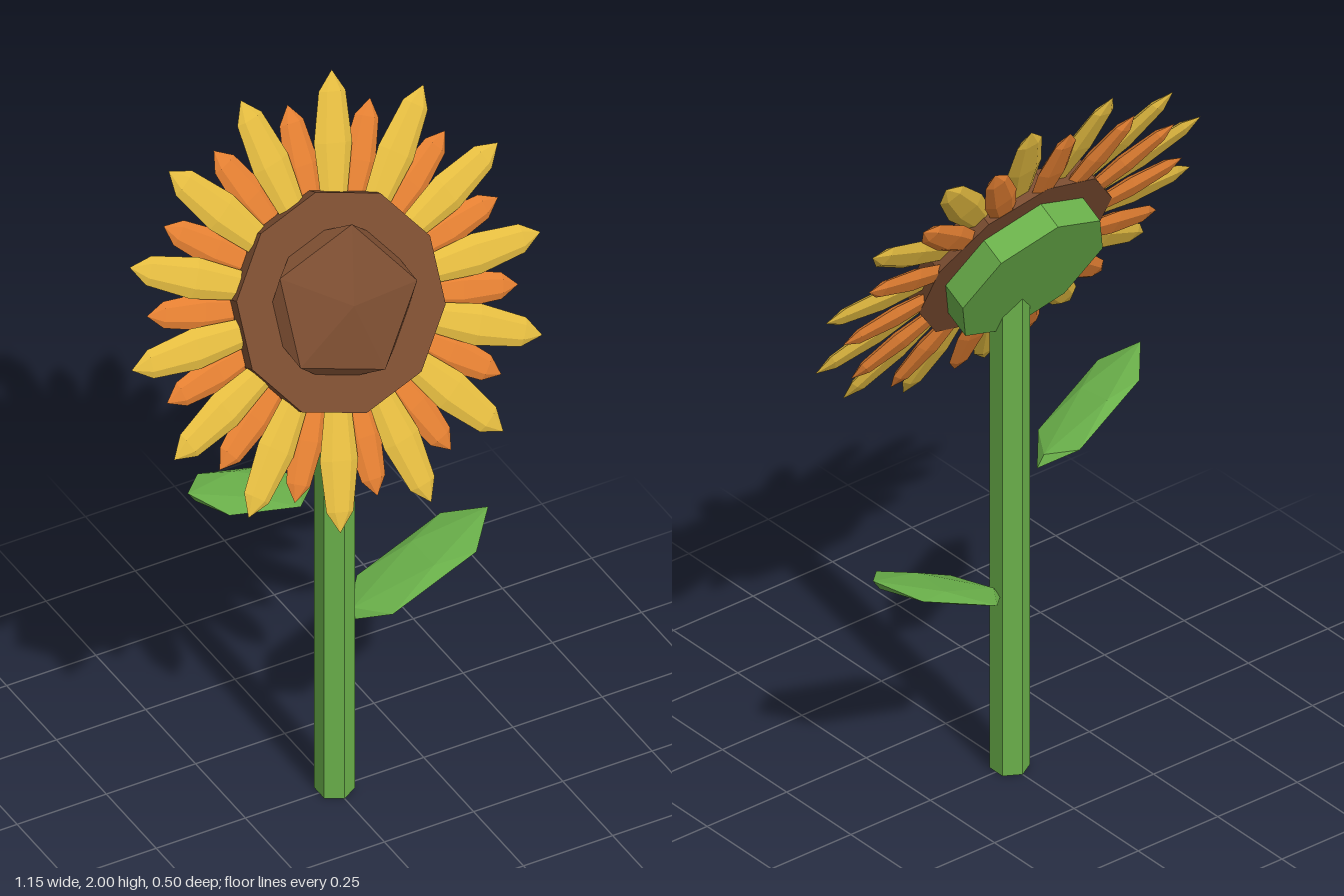
import * as THREE from 'three';

const flat = (name, color) => {
  const m = new THREE.MeshStandardMaterial({ color, flatShading: true });
  m.name = name;
  return m;
};

export function createModel() {
  const green = flat('leaf green', 0x6ab04a);
  const brown = flat('seed brown', 0x7a4c30);
  const yellow = flat('petal yellow', 0xe3bb40);
  const orange = flat('petal orange', 0xe37f32);

  const model = new THREE.Group();
  model.name = 'sunflower';
  const add = (parent, name, geometry, material) => {
    const mesh = new THREE.Mesh(geometry, material);
    mesh.name = name;
    parent.add(mesh);
    return mesh;
  };

  // Six-sided stem
  add(model, 'stem', new THREE.CylinderGeometry(0.05, 0.05, 1.42, 6).translate(0, 0.71, 0), green);

  // Leaves: stretched icosahedra, given by width, thickness and length vectors
  const leaf = (name, centre, width, thickness, length) => {
    const v = (a) => new THREE.Vector3(...a);
    const m = new THREE.Matrix4().makeBasis(v(width), v(thickness), v(length)).setPosition(v(centre));
    add(model, name, new THREE.IcosahedronGeometry(1, 0).applyMatrix4(m), green);
  };
  leaf('leftLeaf', [0.23, 0.605, 0], [0, 0, -0.106], [0.021, 0.03, 0], [0.223, 0.1, 0]);
  leaf('rightLeaf', [-0.22, 0.975, -0.035], [0, -0.012, 0.095], [-0.021, 0.03, 0], [-0.215, 0.085, 0.045]);

  // Flower head, built facing +z and tilted back
  const head = new THREE.Group();
  head.name = 'flowerHead';
  head.position.y = 1.5;
  head.rotation.x = -0.464;
  model.add(head);

  // Round plates lying across the head, from depth z0 to z1
  const plate = (name, radius, z0, z1, sides, material) =>
    add(head, name, new THREE.CylinderGeometry(radius, radius, z1 - z0, sides)
      .rotateX(Math.PI / 2).translate(0, 0, (z0 + z1) / 2), material);
  plate('seedDisc', 0.285, -0.025, 0.037, 10, brown);
  plate('flowerBase', 0.22, -0.1, -0.02, 8, green);

  // Raised seed dome: flattened icosahedron with one corner to the front
  add(head, 'seedDome', new THREE.IcosahedronGeometry(1, 0)
    .rotateX(Math.atan(2 / (1 + Math.sqrt(5)))).rotateZ(Math.PI / 2)
    .scale(0.22, 0.22, 0.073).translate(0, 0, 0.037), brown);

  // Two rings of fourteen petals, half a step apart
  const count = 14;
  const petalRing = (name, material, offset, radius, halfWidth, halfLength, z) => {
    const ring = new THREE.Group();
    ring.name = name + 's';
    head.add(ring);
    const petal = new THREE.SphereGeometry(1, 6, 4)
      .scale(halfWidth, halfLength, 0.018).translate(0, radius, z);
    for (let i = 0; i < count; i++) {
      add(ring, name, petal, material).rotation.z = ((i + offset) / count) * Math.PI * 2;
    }
  };
  petalRing('outerPetal', yellow, 0.5, 0.393, 0.052, 0.18, 0.008);
  petalRing('innerPetal', orange, 0, 0.35, 0.047, 0.155, -0.012);

  return model;
}
